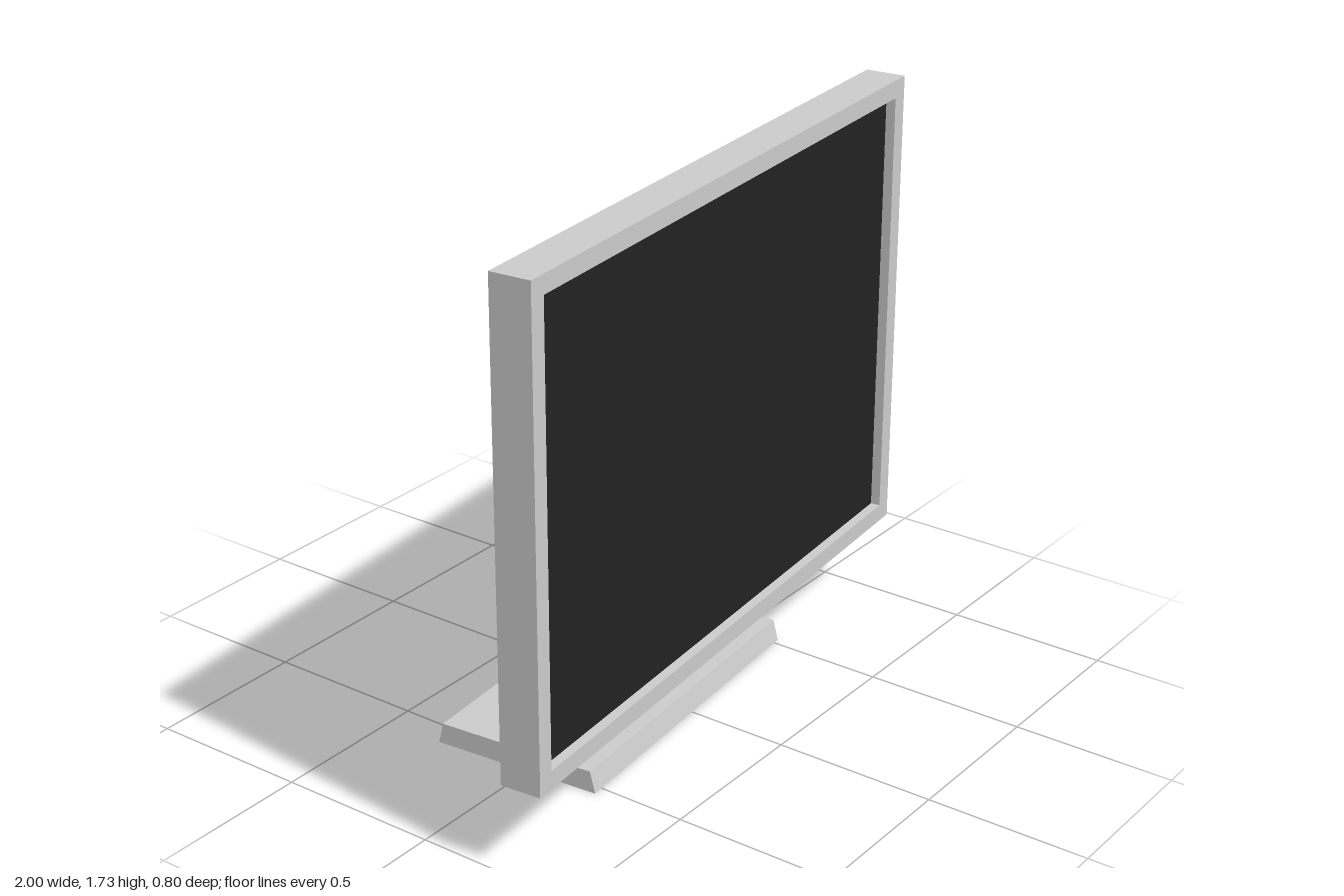
import * as THREE from 'three';

const grey = new THREE.MeshStandardMaterial({ color: 0xcccccc });
grey.name = 'grey plastic';
const black = new THREE.MeshStandardMaterial({ color: 0x222222 });
black.name = 'black screen';

function part(name, geometry, material) {
  const mesh = new THREE.Mesh(geometry, material);
  mesh.name = name;
  return mesh;
}

// Box whose eight corners are placed by a rule taking the sign of each axis
function shapedBox(rule) {
  const geometry = new THREE.BoxGeometry(2, 2, 2);
  const p = geometry.attributes.position;
  for (let i = 0; i < p.count; i++) {
    p.setXYZ(i, ...rule(p.getX(i), p.getY(i), p.getZ(i)));
  }
  geometry.computeVertexNormals();
  return geometry;
}

// Rectangle outline centred on x = 0
function rectangle(path, halfWidth, low, high) {
  path.moveTo(-halfWidth, low);
  path.lineTo(halfWidth, low);
  path.lineTo(halfWidth, high);
  path.lineTo(-halfWidth, high);
  path.closePath();
  return path;
}

export function createModel() {
  const W = 0.9985, LOW = 0.275, HIGH = 1.725, BEZEL = 0.055;
  const BACK = 0.187, FRONT = 0.312, SCREEN = 0.282;
  const STAND = 0.183;
  const monitor = new THREE.Group();
  monitor.name = 'monitor';

  // Frame around the sunken screen
  const outline = rectangle(new THREE.Shape(), W, LOW, HIGH);
  outline.holes.push(rectangle(new THREE.Path(), W - BEZEL, LOW + BEZEL, HIGH - BEZEL));
  const frame = new THREE.ExtrudeGeometry(outline, { depth: FRONT - BACK, bevelEnabled: false });
  frame.translate(0, 0, BACK);
  monitor.add(part('frame', frame, grey));

  const screen = new THREE.PlaneGeometry(2 * (W - BEZEL), HIGH - LOW - 2 * BEZEL);
  screen.translate(0, (LOW + HIGH) / 2, SCREEN);
  monitor.add(part('screen', screen, black));

  // Back shell narrowing to the stand mount
  monitor.add(part('backShell', shapedBox((x, y, z) => z > 0
    ? [x * W, y > 0 ? HIGH : LOW, BACK]
    : [x * STAND, y > 0 ? 1.1 : 0.9, 0.033]), grey));

  // Mount, head and leaning column as one side profile (z, y)
  const profile = new THREE.Shape([
    [0.033, 0.9], [0.033, 1.1], [-0.042, 1.1], [-0.042, 1.177], [-0.117, 1.177],
    [-0.117, 0.9], [-0.192, 0.135], [-0.117, 0.135], [-0.042, 0.9],
  ].map(([z, y]) => new THREE.Vector2(z, y)));
  const column = new THREE.ExtrudeGeometry(profile, { depth: 2 * STAND, bevelEnabled: false });
  column.rotateY(-Math.PI / 2);
  column.translate(STAND, 0, 0);
  monitor.add(part('standColumn', column, grey));

  // Flared foot under the column
  monitor.add(part('columnFoot', shapedBox((x, y, z) => y > 0
    ? [x * STAND, 0.135, z > 0 ? -0.117 : -0.192]
    : [x * 0.353, 0.065, z > 0 ? -0.088 : -0.234]), grey));

  // Base plate with sloping front and back
  monitor.add(part('base', shapedBox((x, y, z) => y > 0
    ? [x * 0.53, 0.066, z > 0 ? 0.164 : -0.342]
    : [x * 0.53, 0, z > 0 ? 0.181 : -0.358]), grey));

  // Turned slightly to one side
  monitor.rotation.y = THREE.MathUtils.degToRad(5);
  monitor.position.set(-0.0214, 0, 0.0019);

  const model = new THREE.Group();
  model.add(monitor);
  return model;
}
